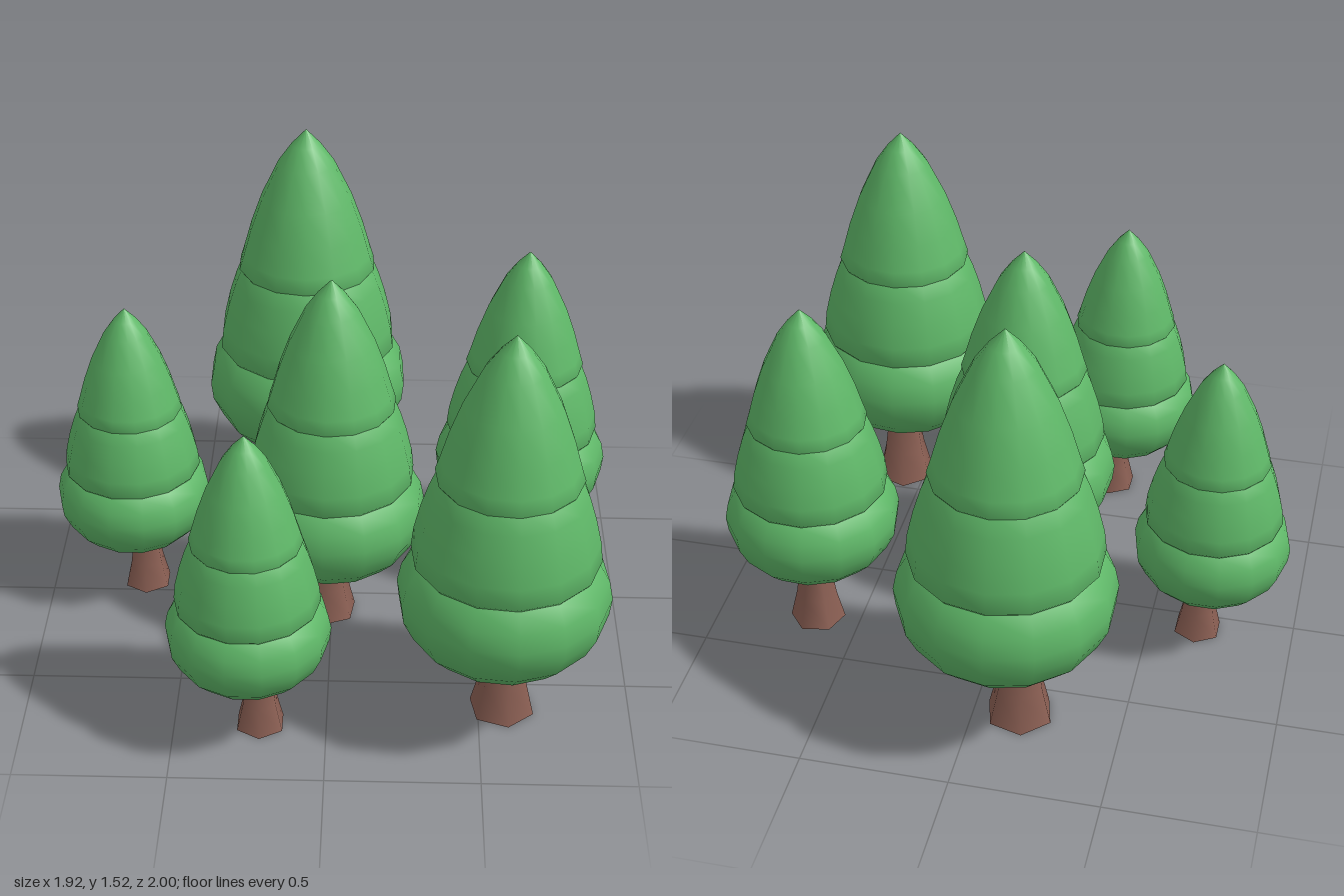
import * as THREE from 'three';

const SIDES = 14;
const foliage = new THREE.MeshStandardMaterial({ color: 0x5fb868 });
foliage.name = 'foliage green';
const bark = new THREE.MeshStandardMaterial({ color: 0x8c6054, side: THREE.DoubleSide });
bark.name = 'bark brown';

// Profiles as [radius, height], for a tree of height 1
const PROFILES = {
  lowerFoliage: [[0, 0.175], [0.06, 0.178], [0.12, 0.193], [0.17, 0.221], [0.21, 0.262],
    [0.234, 0.312], [0.239, 0.355], [0.23, 0.4], [0.207, 0.442], [0.17, 0.48]],
  middleFoliage: [[0.15, 0.41], [0.19, 0.428], [0.21, 0.453], [0.205, 0.5], [0.191, 0.56],
    [0.174, 0.615], [0.155, 0.662], [0.12, 0.7]],
  upperFoliage: [[0.11, 0.62], [0.148, 0.637], [0.162, 0.658], [0.152, 0.69], [0.134, 0.754],
    [0.107, 0.83], [0.066, 0.917], [0.034, 0.963], [0, 1]],
};
const TRUNK = [[0.0765, 0], [0.056, 0.085], [0.043, 0.175], [0.04, 0.22]];

function lathe(profile, sides, phase = 0) {
  return new THREE.LatheGeometry(profile.map(([r, y]) => new THREE.Vector2(r, y)), sides, phase);
}

function createTree(name) {
  const tree = new THREE.Group();
  tree.name = name;
  // Three overlapping tiers of foliage
  for (const [part, profile] of Object.entries(PROFILES)) {
    const tier = new THREE.Mesh(lathe(profile, SIDES, Math.PI / SIDES), foliage);
    tier.name = part;
    tree.add(tier);
  }
  // Flared six-sided trunk, slightly off centre and open underneath
  const trunk = new THREE.Mesh(lathe(TRUNK, 6), bark);
  trunk.name = 'trunk';
  trunk.position.x = 0.029;
  tree.add(trunk);
  return tree;
}

export function createModel() {
  const grove = new THREE.Group();
  grove.name = 'grove';
  // Name, x, z, height, turn in degrees
  const trees = [
    ['backTree', -0.11, -0.635, 1.52, 194],
    ['backLeftTree', 0.66, -0.255, 1.25, 100],
    ['rightTree', -0.7, -0.065, 1.115, 0],
    ['middleTree', 0.0, 0.125, 1.335, 112],
    ['frontRightTree', -0.25, 0.72, 1.115, 0],
    ['frontLeftTree', 0.565, 0.655, 1.44, 70],
  ];
  for (const [name, x, z, height, turn] of trees) {
    const tree = createTree(name);
    tree.position.set(x, 0, z);
    tree.scale.setScalar(height);
    tree.rotation.y = THREE.MathUtils.degToRad(turn);
    grove.add(tree);
  }
  return grove;
}
